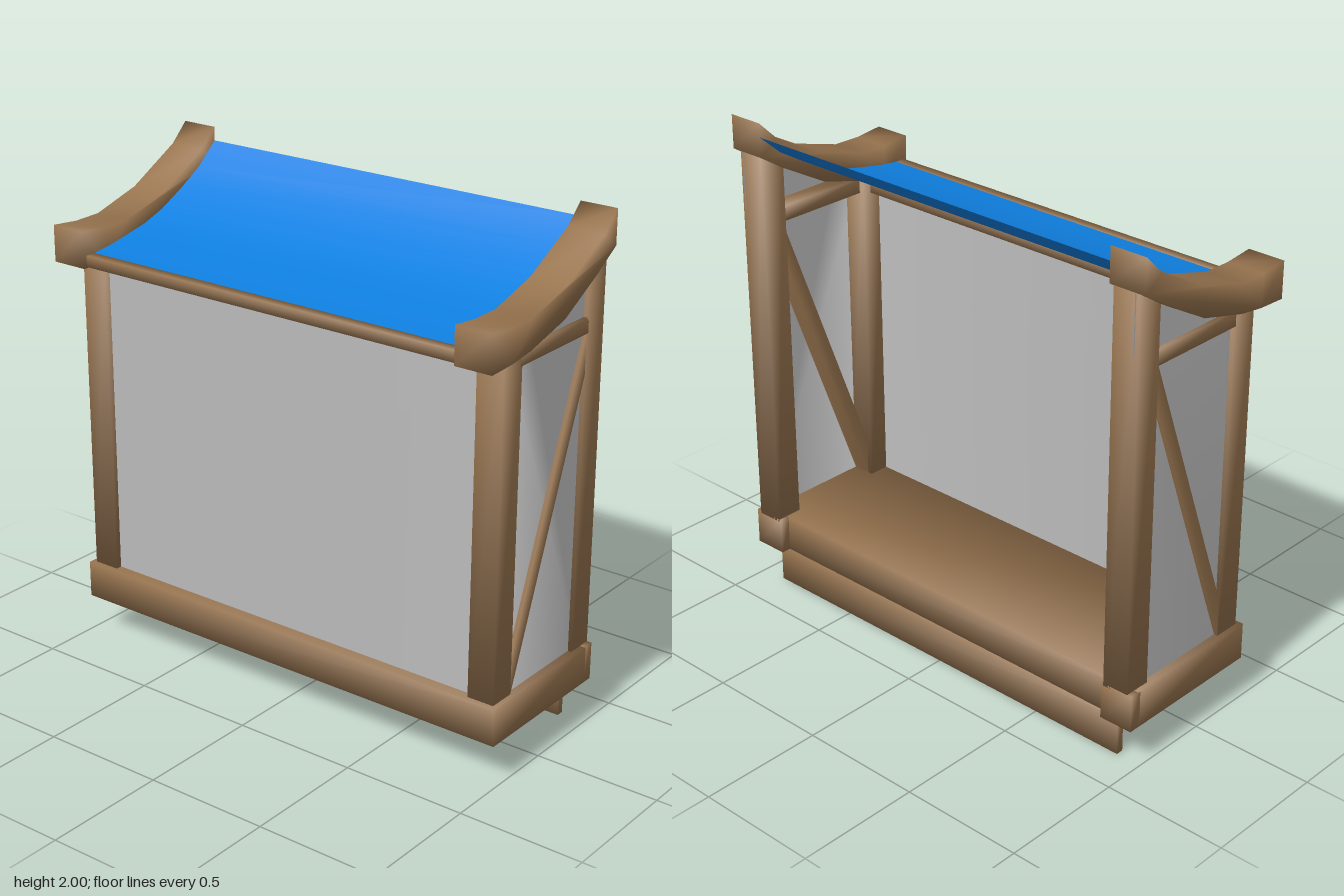
import * as THREE from 'three';
import { mergeVertices, mergeGeometries } from 'three/addons/utils/BufferGeometryUtils.js';

const wood = new THREE.MeshStandardMaterial({ color: 0x9a7650 });
const blue = new THREE.MeshStandardMaterial({ color: 0x0f7fe0, side: THREE.DoubleSide });
const grey = new THREE.MeshStandardMaterial({ color: 0xcccccc, side: THREE.DoubleSide });

// Replace each vertex normal by a rule of its position
function setNormals(geo, rule) {
  const p = geo.attributes.position;
  const n = new THREE.Vector3();
  for (let i = 0; i < p.count; i++) {
    n.set(...rule(p.getX(i), p.getY(i), p.getZ(i))).normalize();
    geo.attributes.normal.setXYZ(i, n.x, n.y, n.z);
  }
  return geo;
}

export function createModel() {
  const group = new THREE.Group();
  const add = (name, geo, mat = wood) => {
    const mesh = new THREE.Mesh(geo, mat);
    mesh.name = name;
    group.add(mesh);
  };
  // Timber given by its extents in x, y and z, shaded softly over its corners
  const timber = (name, x0, x1, y0, y1, z0, z1) => {
    const geo = new THREE.BoxGeometry(x1 - x0, y1 - y0, z1 - z0);
    setNormals(geo, (x, y, z) => [Math.sign(x), Math.sign(y), Math.sign(z)]);
    geo.translate((x0 + x1) / 2, (y0 + y1) / 2, (z0 + z1) / 2);
    add(name, geo);
  };
  // Side profile of [z, y] points, given a width in x
  const profile = (name, pts, x, width) => {
    const shape = new THREE.Shape(pts.map(([z, y]) => new THREE.Vector2(z, y)));
    const geo = new THREE.ExtrudeGeometry(shape, { depth: width, bevelEnabled: false });
    geo.rotateY(-Math.PI / 2);
    geo.translate(x + width / 2, 0, 0);
    geo.deleteAttribute('normal');
    geo.deleteAttribute('uv');
    const soft = mergeVertices(geo, 1e-4);
    soft.computeVertexNormals();
    add(name, soft);
  };

  // Floor, set back between the rear corners, and the beam below its back edge
  timber('floor', -0.985, 0.985, 0.16, 0.31, -0.33, 0.28);
  timber('underBeam', -0.895, 0.895, 0, 0.16, -0.33, -0.3);

  // Curved brackets under the floor
  for (let i = 0; i < 4; i++) {
    profile('bracket', [[0.2, 0.165], [0.2, 0.125], [0.08, 0.127], [-0.06, 0.1],
      [-0.305, 0.03], [-0.305, 0.165]], -0.74 + i * 0.5, 0.125);
  }

  // Each end: floor corner, posts, rail, diagonal brace and sweeping roof beam
  const beam = [[0.38, 1.605], [0.26, 1.61], [0.15, 1.625], [-0.06, 1.68], [-0.26, 1.79],
    [-0.378, 1.865], [-0.378, 2], [-0.3, 1.925], [-0.07, 1.8], [0.14, 1.74], [0.26, 1.738], [0.38, 1.75]];
  for (const s of [-1, 1]) {
    const x = s * 0.91;
    timber('floorCorner', s * 0.915 - 0.07, s * 0.915 + 0.07, 0.16, 0.31, -0.37, -0.32);
    timber('frontPost', x - 0.055, x + 0.055, 0.3, 1.64, 0.15, 0.26);
    timber('backPost', x - 0.055, x + 0.055, 0.3, 1.87, -0.37, -0.26);
    timber('sideRail', s * 0.92 - 0.045, s * 0.92 + 0.045, 1.565, 1.625, -0.27, 0.16);
    profile('diagonalBrace', [[0.15, 0.31], [0.15, 0.465], [-0.26, 1.565], [-0.26, 1.41]], s * 0.92, 0.09);
    profile('roofBeam', beam, s * 0.92, 0.152);
  }

  // Front rail, eaves bar and short rafter ends between them
  timber('frontRail', -0.86, 0.86, 1.56, 1.61, 0.19, 0.255);
  timber('eavesBar', -0.85, 0.85, 1.61, 1.655, 0.325, 0.367);
  for (let i = 0; i < 5; i++) {
    profile('rafterEnd', [[0.2, 1.585], [0.27, 1.59], [0.34, 1.615], [0.34, 1.64], [0.2, 1.62]],
      -0.74 + i * 0.362, 0.08);
  }

  // Wall sheet: front and two sides, open at the back
  const wallX = 0.95, wallZ = 0.235;
  const side = [[wallZ, 0.31], [wallZ, 1.66], [0.1, 1.68], [-0.06, 1.73], [-0.28, 1.86],
    [-0.376, 1.92], [-0.376, 1.63], [-0.32, 1.6], [-0.32, 0.31]];
  const front = new THREE.PlaneGeometry(2 * wallX, 1.29);
  front.translate(0, 0.955, wallZ);
  const sides = [-1, 1].map((s) => {
    const geo = new THREE.ShapeGeometry(new THREE.Shape(side.map(([z, y]) => new THREE.Vector2(-s * z, y))));
    geo.rotateY(s * Math.PI / 2);
    geo.translate(s * wallX, 0, 0);
    return geo;
  });
  const wall = mergeGeometries([front, ...sides]);
  add('wall', setNormals(wall, (x, y, z) => [Math.sign(x), 0, z > 0.2 ? 1 : 0]), grey);

  // Roof sheet swept between the two roof beams
  const roofLine = [[0.345, 1.652], [0.24, 1.665], [0.15, 1.682], [0.04, 1.705], [-0.06, 1.74],
    [-0.17, 1.795], [-0.28, 1.86], [-0.378, 1.945]];
  const roof = new THREE.PlaneGeometry(1.7, 1, 1, roofLine.length - 1);
  const pos = roof.attributes.position;
  for (let i = 0; i < pos.count; i++) {
    const [z, y] = roofLine[roofLine.length - 1 - Math.floor(i / 2)];
    pos.setXYZ(i, pos.getX(i), y, z);
  }
  roof.computeVertexNormals();
  add('roof', roof, blue);

  return group;
}
